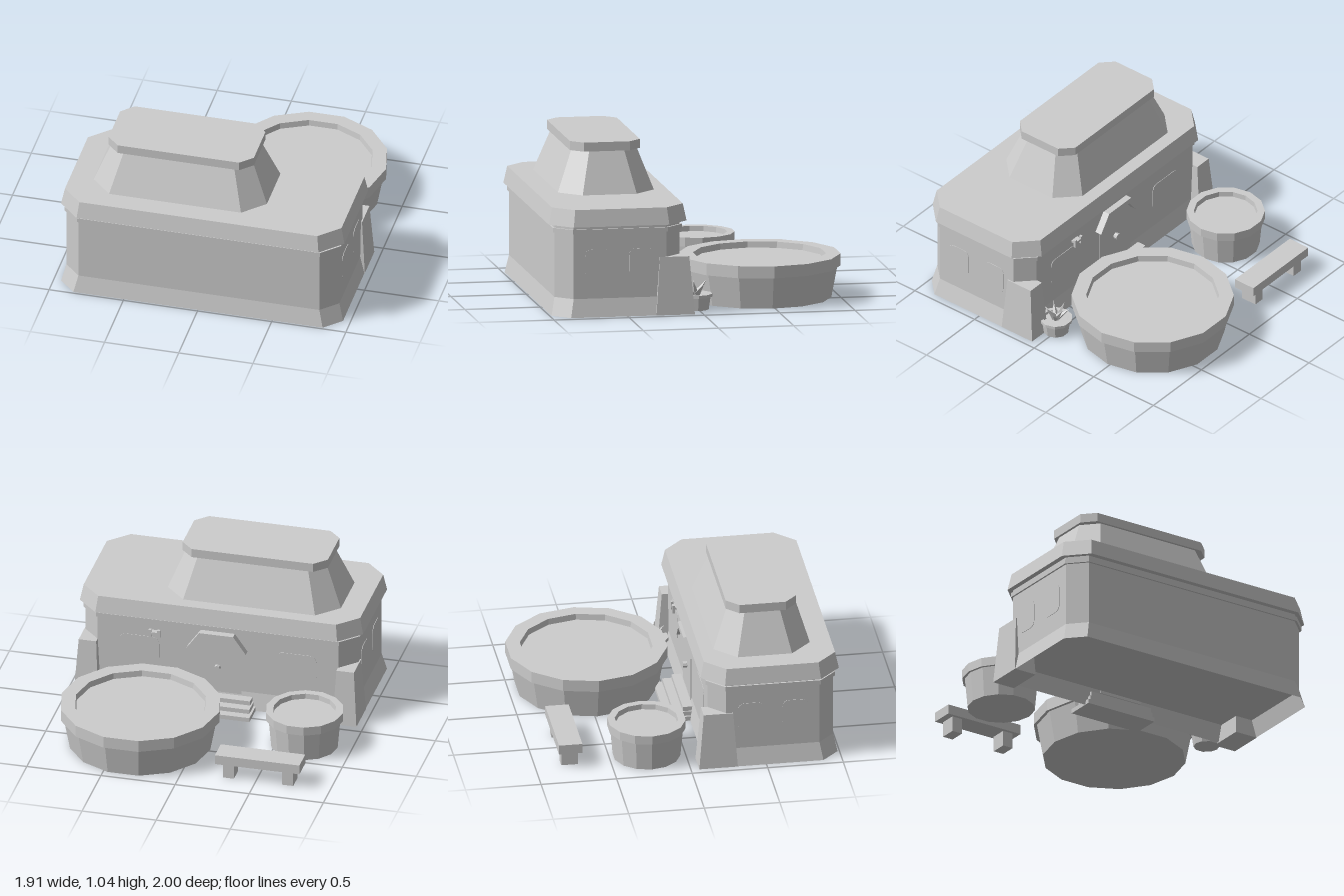
import * as THREE from 'three';

const stone = new THREE.MeshStandardMaterial({ color: 0xcccccc });
stone.name = 'plain grey';
const stoneOpen = new THREE.MeshStandardMaterial({ color: 0xcccccc, side: THREE.DoubleSide });
stoneOpen.name = 'plain grey open';

// Faceted normals for any geometry
function flat(geometry) {
  const g = geometry.index ? geometry.toNonIndexed() : geometry;
  g.computeVertexNormals();
  return g;
}

function add(parent, name, geometry, x = 0, y = 0, z = 0, material = stone) {
  const mesh = new THREE.Mesh(flat(geometry), material);
  mesh.name = name;
  mesh.position.set(x, y, z);
  parent.add(mesh);
  return mesh;
}

// Rectangle ring with cut corners, anticlockwise from above
function ring(y, x0, x1, z0, z1, c) {
  const p = c
    ? [[x0 + c, z1], [x1 - c, z1], [x1, z1 - c], [x1, z0 + c],
       [x1 - c, z0], [x0 + c, z0], [x0, z0 + c], [x0, z1 - c]]
    : [[x0, z1], [x1, z1], [x1, z0], [x0, z0]];
  return p.map(([x, z]) => new THREE.Vector3(x, y, z));
}

// Skin over stacked rings, bottom to top
function loft(rings, capBottom = true, capTop = true) {
  const pts = [];
  const n = rings[0].length;
  for (let r = 0; r + 1 < rings.length; r++) {
    const lo = rings[r], hi = rings[r + 1];
    for (let i = 0; i < n; i++) {
      const j = (i + 1) % n;
      pts.push(lo[i], lo[j], hi[j], lo[i], hi[j], hi[i]);
    }
  }
  const first = rings[0], last = rings[rings.length - 1];
  for (let i = 1; i + 1 < n; i++) {
    if (capBottom) pts.push(first[0], first[i + 1], first[i]);
    if (capTop) pts.push(last[0], last[i], last[i + 1]);
  }
  return new THREE.BufferGeometry().setFromPoints(pts);
}

// Faceted turned shape with a flat side facing front and back
function turned(profile, sides) {
  const pts = profile.map(([r, y]) => new THREE.Vector2(r, y));
  return new THREE.LatheGeometry(pts, sides, Math.PI / sides);
}

// Thin pane with rounded corners
function pane(w, h, r) {
  const x = w / 2, y = h / 2, s = new THREE.Shape();
  s.moveTo(-x + r, -y);
  s.lineTo(x - r, -y);
  s.quadraticCurveTo(x, -y, x, -y + r);
  s.lineTo(x, y - r);
  s.quadraticCurveTo(x, y, x - r, y);
  s.lineTo(-x + r, y);
  s.quadraticCurveTo(-x, y, -x, y - r);
  s.lineTo(-x, -y + r);
  s.quadraticCurveTo(-x, -y, -x + r, -y);
  return new THREE.ExtrudeGeometry(s, { depth: 0.004, bevelEnabled: false, curveSegments: 4 });
}

function plate(points, depth) {
  const s = new THREE.Shape(points.map(([x, y]) => new THREE.Vector2(x, y)));
  return new THREE.ExtrudeGeometry(s, { depth, bevelEnabled: false });
}

function buildHouse(parent) {
  const house = new THREE.Group();
  house.name = 'house';
  parent.add(house);

  // Flared skirt, open underneath, then walls
  const wallFoot = ring(0.12, -0.92, 0.92, 0.13, 0.963, 0.108);
  add(house, 'skirt', loft([ring(0, -0.95, 0.95, 0.105, 0.987, 0.11), wallFoot], false, false), 0, 0, 0, stoneOpen);
  add(house, 'walls', loft([wallFoot, ring(0.6, -0.92, 0.92, 0.13, 0.963, 0.108)]));
  add(house, 'cornice', loft([0.55, 0.58].map((y) => ring(y, -0.932, 0.932, 0.118, 0.975, 0.112))));

  // Roof slab, raised attic and its cap
  add(house, 'roof', loft([ring(0.6, -0.955, 0.955, 0.085, 1, 0.14), ring(0.712, -0.932, 0.932, 0.108, 0.977, 0.13)]));
  add(house, 'attic', loft([ring(0.71, -0.778, 0.392, 0.197, 0.837, 0.14), ring(0.985, -0.665, 0.28, 0.3, 0.733, 0.1)]));
  add(house, 'atticCap', loft([0.985, 1.045].map((y) => ring(y, -0.682, 0.297, 0.285, 0.75, 0.08))));

  // Buttresses on the back corners
  for (const s of [-1, 1]) {
    const span = (a, b) => (s > 0 ? [a, b] : [-b, -a]);
    add(house, 'buttress', loft([
      ring(0, ...span(0.79, 0.953), 0.055, 0.31),
      ring(0.382, ...span(0.81, 0.928), 0.088, 0.283),
    ]));
    // Side windows
    for (const z of [0.695, 0.402]) {
      add(house, 'sideWindow', pane(0.168, 0.195, 0.045), s * 0.919, 0.347, z).rotation.y = s * Math.PI / 2;
    }
    // Back windows
    add(house, 'backWindow', pane(0.27, 0.195, 0.05), s * 0.53, 0.347, 0.131).rotation.y = Math.PI;
  }

  // Door, its arched hood and knob
  add(house, 'door', plate([[-0.16, 0.1], [0.16, 0.1], [0.16, 0.42], [0.09, 0.5], [-0.09, 0.5], [-0.16, 0.42]], 0.008), 0, 0, 0.124);
  add(house, 'doorHood', plate([
    [-0.2, 0.42], [-0.16, 0.42], [-0.095, 0.505], [0.095, 0.505],
    [0.16, 0.42], [0.2, 0.42], [0.115, 0.54], [-0.115, 0.54],
  ], 0.05), 0, 0, 0.082);
  add(house, 'doorKnob', new THREE.CylinderGeometry(0.022, 0.022, 0.03, 8).rotateX(Math.PI / 2), 0, 0.28, 0.112);

  // Wall lantern
  add(house, 'lanternBracket', new THREE.BoxGeometry(0.06, 0.015, 0.04), 0.42, 0.49, 0.112);
  for (const x of [0.39, 0.45]) {
    add(house, 'lanternPost', new THREE.BoxGeometry(0.018, 0.055, 0.018), x, 0.488, 0.098);
  }

  // Steps, rising to the door
  [[0.26, -0.055, 0.03], [0.245, 0, 0.06], [0.235, 0.06, 0.09]].forEach(([half, z, h]) => {
    add(house, 'step', new THREE.BoxGeometry(half * 2, h, 0.14 - z), 0, h / 2, (0.14 + z) / 2);
  });
}

export function createModel() {
  const model = new THREE.Group();
  model.name = 'bathHouse';
  buildHouse(model);

  // Round pools
  add(model, 'largePool', turned([
    [0, 0], [0.47, 0], [0.51, 0.21], [0.531, 0.21], [0.531, 0.29], [0.435, 0.29], [0.43, 0.25], [0, 0.25],
  ], 14), 0.365, 0, -0.483);
  add(model, 'smallPool', turned([
    [0, 0], [0.222, 0], [0.24, 0.2], [0.257, 0.2], [0.257, 0.26], [0.208, 0.26], [0.205, 0.225], [0, 0.225],
  ], 14), -0.683, 0, -0.252);

  // Bench
  const bench = new THREE.Group();
  bench.name = 'bench';
  bench.position.set(-0.515, 0, -0.772);
  add(bench, 'benchSeat', new THREE.BoxGeometry(0.57, 0.065, 0.155), 0, 0.1375, 0);
  for (const s of [-1, 1]) {
    add(bench, 'benchLeg', new THREE.BoxGeometry(0.075, 0.106, 0.11), s * 0.2, 0.053, 0);
  }
  model.add(bench);

  // Potted spiky plant
  const plant = new THREE.Group();
  plant.name = 'pottedPlant';
  plant.position.set(0.757, 0, 0.013);
  add(plant, 'pot', turned([[0, 0], [0.085, 0], [0.098, 0.085], [0.11, 0.085], [0.11, 0.105], [0.085, 0.105], [0.08, 0.09], [0, 0.09]], 10));
  for (let i = 0; i < 7; i++) {
    const leaf = add(plant, 'leaf', new THREE.ConeGeometry(0.025, 0.12, 4).translate(0, 0.06, 0), 0, 0.095, 0);
    leaf.rotation.set(0, (i * Math.PI * 2) / 7, i % 2 ? 0.6 : 0.85, 'YXZ');
  }
  model.add(plant);
  return model;
}
